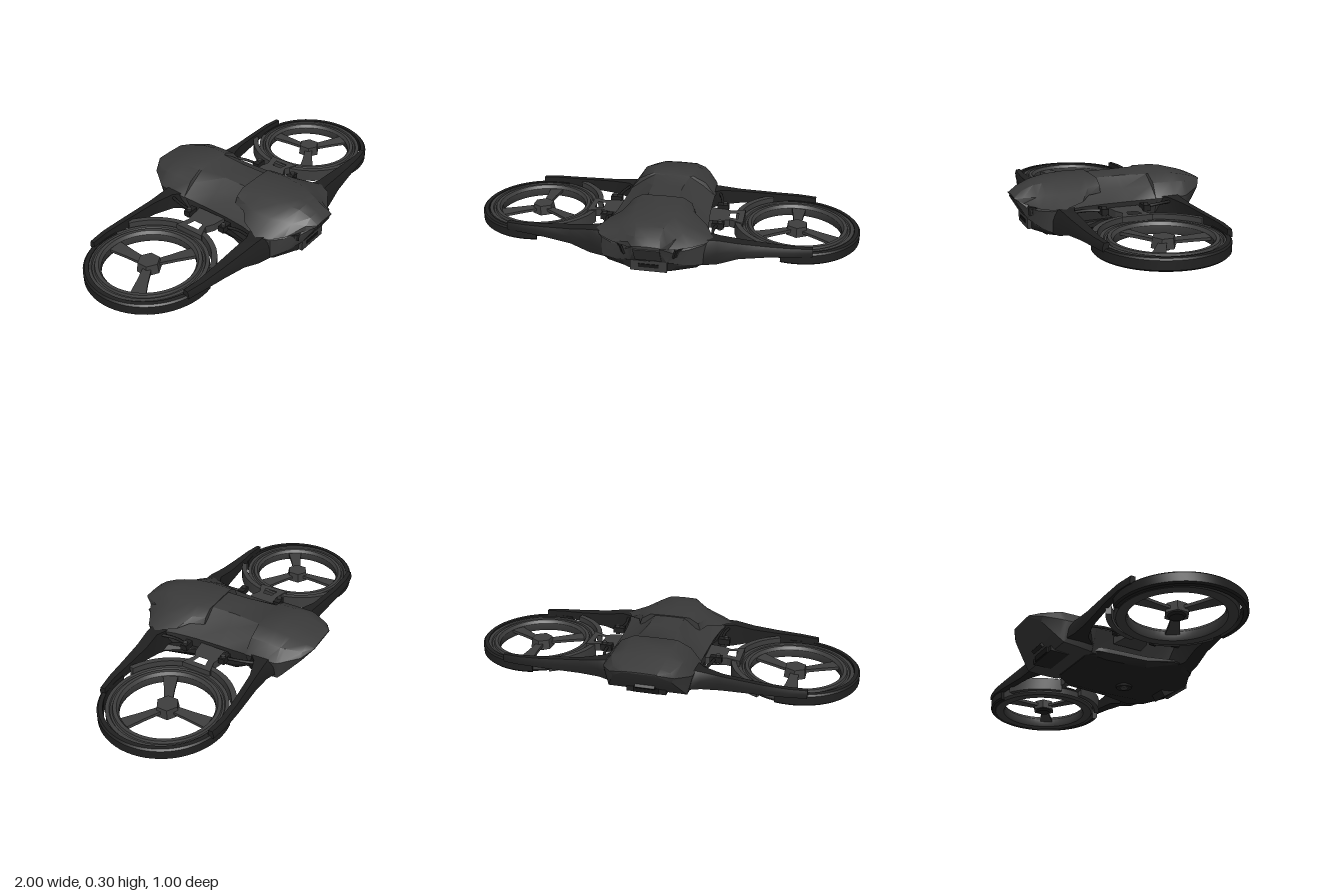
import * as THREE from 'three';
import { toCreasedNormals } from 'three/addons/utils/BufferGeometryUtils.js';

const mat = (name, color) => {
  const m = new THREE.MeshStandardMaterial({ color });
  m.name = name;
  return m;
};

// Closed solid through matching loops of [x, y, z] points, always wound outward
function loft(loops, crease = 0.6) {
  const tris = [], n = loops[0].length;
  const mid = l => [0, 1, 2].map(k => l.reduce((s, p) => s + p[k], 0) / n);
  for (let i = 0; i < loops.length - 1; i++) {
    for (let j = 0; j < n; j++) {
      const k = (j + 1) % n, A = loops[i], B = loops[i + 1];
      tris.push([A[j], A[k], B[k]], [A[j], B[k], B[j]]);
    }
  }
  const first = loops[0], last = loops[loops.length - 1];
  const c0 = mid(first), c1 = mid(last);
  for (let j = 0; j < n; j++) {
    const k = (j + 1) % n;
    tris.push([c0, first[k], first[j]], [c1, last[j], last[k]]);
  }
  let volume = 0;
  for (const [a, b, c] of tris) {
    volume += a[0] * (b[1] * c[2] - b[2] * c[1]) + a[1] * (b[2] * c[0] - b[0] * c[2]) + a[2] * (b[0] * c[1] - b[1] * c[0]);
  }
  if (volume < 0) tris.forEach(t => t.reverse());
  const g = new THREE.BufferGeometry();
  g.setAttribute('position', new THREE.Float32BufferAttribute(tris.flat(2), 3));
  return toCreasedNormals(g, crease);
}

// Symmetric body loop: z, top height, top half width, then x,y pairs down the side
function bodyLoop([z, top, a, ...rest]) {
  const half = [[a, top]];
  for (let i = 0; i < rest.length; i += 2) half.push([rest[i], rest[i + 1]]);
  const right = half.map(([x, y]) => [x, y, z]);
  const left = half.map(([x, y]) => [-x, y, z]).reverse();
  return [[0, top + 0.002, z], ...right, ...left];
}

// Arm loop: x, outer z, inner z, top, bottom
const armLoop = ([x, zo, zi, t, b]) => [
  [x, b, zo], [x, (t + b) / 2, zo], [x, t, zo + (zi - zo) * 0.2], [x, t, zi], [x, b, zi]];

// Curved wall around the rotor; angles in degrees, 0 = +z and 90 = +x
function arcWall(r0, r1, y0, y1, from, to, steps, bevel = 0) {
  const loops = [];
  for (let i = 0; i <= steps; i++) {
    const t = THREE.MathUtils.degToRad(from + (to - from) * i / steps);
    loops.push([[r0, y0], [r1 - bevel, y0], [r1, y0 + bevel], [r1, y1 - bevel], [r1 - bevel, y1], [r0, y1]]
      .map(([r, y]) => [r * Math.sin(t), y, r * Math.cos(t)]));
  }
  return loft(loops, 0.5);
}

export function createModel() {
  const shell = mat('shell grey', 0x3a3a3a);
  const dark = mat('dark frame', 0x202020);
  const ringGrey = mat('rotor grey', 0x3e3e3e);
  const black = mat('lens black', 0x141414);
  const model = new THREE.Group();
  model.name = 'ductedDrone';

  const add = (parent, name, geo, material, pos = [0, 0, 0], rot = [0, 0, 0]) => {
    const m = new THREE.Mesh(geo, material);
    m.name = name;
    m.position.set(...pos);
    m.rotation.set(...rot);
    parent.add(m);
    return m;
  };
  const box = (w, h, d) => new THREE.BoxGeometry(w, h, d);

  // Upper body with a wedge tail and a sunken middle
  add(model, 'bodyShell', loft([
    [-0.5, 0.25, 0.085, 0.086, 0.249, 0.088, 0.247, 0.084, 0.245],
    [-0.46, 0.264, 0.095, 0.14, 0.248, 0.16, 0.222, 0.145, 0.2],
    [-0.38, 0.284, 0.105, 0.175, 0.26, 0.215, 0.2, 0.19, 0.11],
    [-0.36, 0.289, 0.11, 0.18, 0.262, 0.225, 0.195, 0.2, 0.09],
    [-0.3, 0.298, 0.11, 0.18, 0.264, 0.23, 0.195, 0.2, 0.085],
    [-0.2, 0.298, 0.11, 0.18, 0.264, 0.235, 0.195, 0.19, 0.08],
    [-0.195, 0.295, 0.095, 0.165, 0.25, 0.232, 0.195, 0.18, 0.08],
    [-0.05, 0.295, 0.08, 0.145, 0.243, 0.236, 0.195, 0.18, 0.08],
    [0.08, 0.293, 0.08, 0.14, 0.243, 0.242, 0.195, 0.19, 0.08],
    [0.2, 0.29, 0.08, 0.16, 0.238, 0.256, 0.195, 0.2, 0.08],
    [0.3, 0.285, 0.08, 0.16, 0.236, 0.285, 0.195, 0.26, 0.08],
    [0.36, 0.278, 0.065, 0.13, 0.233, 0.255, 0.185, 0.25, 0.08],
    [0.4, 0.265, 0.06, 0.12, 0.217, 0.19, 0.175, 0.18, 0.09],
    [0.44, 0.25, 0.055, 0.092, 0.21, 0.115, 0.17, 0.09, 0.115],
    [0.495, 0.22, 0.05, 0.065, 0.218, 0.068, 0.216, 0.06, 0.208],
  ].map(bodyLoop)), shell);

  // Raised front hood wrapping down into the nose
  add(model, 'frontHood', loft([
    [0.08, 0.298, 0.105, 0.152, 0.27, 0.165, 0.235],
    [0.15, 0.298, 0.11, 0.168, 0.263, 0.188, 0.232],
    [0.2, 0.298, 0.11, 0.185, 0.254, 0.245, 0.216],
    [0.3, 0.293, 0.1, 0.18, 0.247, 0.292, 0.2],
    [0.36, 0.286, 0.08, 0.148, 0.242, 0.262, 0.193],
    [0.4, 0.278, 0.068, 0.13, 0.23, 0.195, 0.186],
    [0.46, 0.252, 0.06, 0.094, 0.222, 0.098, 0.195],
    [0.5, 0.222, 0.055, 0.07, 0.22, 0.072, 0.216],
  ].map(bodyLoop)), shell);

  // Dark belly tray under the body
  add(model, 'belly', loft([
    [-0.21, 0.1, 0.16, 0.17, 0.095, 0.15, 0.082, 0.12, 0.075],
    [-0.15, 0.11, 0.2, 0.2, 0.09, 0.18, 0.065, 0.13, 0.055],
    [-0.12, 0.11, 0.21, 0.21, 0.085, 0.19, 0.055, 0.13, 0.036],
    [0.1, 0.11, 0.225, 0.23, 0.085, 0.21, 0.055, 0.13, 0.03],
    [0.28, 0.11, 0.27, 0.3, 0.085, 0.26, 0.058, 0.13, 0.034],
    [0.36, 0.11, 0.23, 0.25, 0.085, 0.22, 0.06, 0.12, 0.043],
    [0.42, 0.11, 0.13, 0.13, 0.09, 0.12, 0.07, 0.1, 0.06],
  ].map(bodyLoop), 0.4), dark);
  add(model, 'bellySensor', new THREE.CylinderGeometry(0.045, 0.04, 0.02, 20), dark, [0, 0.03, 0.1]);
  add(model, 'bellyLens', new THREE.CylinderGeometry(0.022, 0.022, 0.006, 16), ringGrey, [0, 0.019, 0.1]);
  add(model, 'rearVent', box(0.2, 0.035, 0.1), dark, [0, 0.1, -0.33]);
  add(model, 'rearVentSlot', box(0.13, 0.03, 0.008), black, [0, 0.1, -0.383]);
  add(model, 'tailLatch', box(0.1, 0.035, 0.02), dark, [0, 0.135, -0.398], [0.7, 0, 0]);

  // Chin, nose panel and camera tilted forward and down
  add(model, 'chin', box(0.18, 0.06, 0.1), shell, [0, 0.09, 0.39]);
  add(model, 'chinSlot', box(0.1, 0.018, 0.006), black, [0, 0.09, 0.44]);
  add(model, 'nosePanel', box(0.13, 0.09, 0.008), shell, [0, 0.165, 0.469], [0.54, 0, 0]);
  add(model, 'cameraHousing', box(0.09, 0.04, 0.078), dark, [0, 0.042, 0.348], [-0.58, 0, 0]);
  add(model, 'cameraLens', new THREE.CylinderGeometry(0.014, 0.014, 0.006, 16), black,
    [0, 0.0245, 0.36], [-0.58, 0, 0]);

  // One side: arms, duct, rotor and links
  function buildSide(name) {
    const side = new THREE.Group();
    side.name = name;
    add(side, 'frontArm', loft([
      [0.2, 0.365, 0.22, 0.2, 0.07], [0.32, 0.345, 0.268, 0.2, 0.08],
      [0.42, 0.332, 0.262, 0.187, 0.112], [0.56, 0.318, 0.265, 0.179, 0.128],
      [0.68, 0.305, 0.268, 0.176, 0.135], [0.77, 0.288, 0.258, 0.174, 0.135],
    ].map(armLoop)), dark);
    add(side, 'rearArm', loft([
      [0.2, -0.35, -0.2, 0.205, 0.11], [0.26, -0.335, -0.26, 0.2, 0.115],
      [0.36, -0.332, -0.292, 0.19, 0.12], [0.56, -0.346, -0.312, 0.179, 0.13],
      [0.68, -0.349, -0.318, 0.176, 0.135], [0.77, -0.337, -0.31, 0.174, 0.135],
    ].map(armLoop)), dark);

    // Inboard links and mounting lugs
    const plate = new THREE.Shape([[0.23, -0.1], [0.3, -0.09], [0.34, -0.08], [0.41, -0.1], [0.41, 0.06],
      [0.34, 0.03], [0.3, 0.05], [0.23, 0.06]].map(([x, z]) => new THREE.Vector2(x, -z)));
    plate.holes.push(new THREE.Path([[0.335, -0.045], [0.38, -0.055], [0.38, 0.015], [0.335, 0.005]]
      .map(([x, z]) => new THREE.Vector2(x, -z))));
    add(side, 'ductBracket', new THREE.ExtrudeGeometry(plate, { depth: 0.04, bevelEnabled: false }),
      ringGrey, [0, 0.13, 0], [-Math.PI / 2, 0, 0]);
    for (const z of [-0.11, 0.11]) {
      add(side, 'lug', box(0.06, 0.03, 0.035), dark, [0.29, 0.175, z]);
      add(side, 'lugPin', new THREE.CylinderGeometry(0.012, 0.012, 0.05, 10), ringGrey, [0.3, 0.175, z]);
      const rod = new THREE.CatmullRomCurve3([
        new THREE.Vector3(0.285, 0.175, z), new THREE.Vector3(0.275, 0.18, z * 1.7),
        new THREE.Vector3(z < 0 ? 0.245 : 0.29, 0.18, z * 2.6)]);
      add(side, 'rod', new THREE.TubeGeometry(rod, 8, 0.008, 6), dark);
    }

    // Duct with stepped rim, outer guard and inboard guard arcs
    const duct = new THREE.Group();
    duct.name = 'duct';
    duct.position.set(0.683, 0, -0.035);
    side.add(duct);
    const rim = [[0.225, 0.1], [0.232, 0.085], [0.278, 0.085], [0.288, 0.098], [0.288, 0.142], [0.27, 0.142],
      [0.266, 0.134], [0.257, 0.134], [0.253, 0.146], [0.236, 0.146], [0.225, 0.13], [0.225, 0.1]];
    add(duct, 'ductRing', toCreasedNormals(
      new THREE.LatheGeometry(rim.map(p => new THREE.Vector2(...p)), 56), 0.5), ringGrey);
    add(duct, 'outerGuard', arcWall(0.289, 0.317, 0.088, 0.147, -12, 192, 36, 0.008), dark, [0, 0, 0.012]);
    add(duct, 'innerGuardRear', arcWall(0.297, 0.324, 0.1, 0.165, 208, 262, 12), ringGrey);
    add(duct, 'innerGuardFront', arcWall(0.297, 0.324, 0.1, 0.165, 284, 338, 12), ringGrey);

    // Flat three-bladed rotor with a six-sided hub
    add(duct, 'hub', toCreasedNormals(new THREE.CylinderGeometry(0.055, 0.062, 0.05, 6), 0.4), ringGrey, [0, 0.122, 0]);
    add(duct, 'hubBase', new THREE.CylinderGeometry(0.045, 0.035, 0.012, 12), dark, [0, 0.093, 0]);
    const blade = loft([[0.04, 0.02], [0.13, 0.026], [0.2, 0.034], [0.232, 0.037]]
      .map(([r, w]) => [[-w, 0.008, -r], [w, 0.004, -r], [w, -0.01, -r], [-w, -0.008, -r]]), 0.4);
    for (let i = 0; i < 3; i++) {
      add(duct, 'blade', blade, ringGrey, [0, 0.122, 0], [0, i * Math.PI * 2 / 3, 0]);
    }

    // Ribbed intake beside the nose
    const intake = new THREE.Group();
    intake.name = 'intake';
    intake.position.set(0.147, 0.166, 0.412);
    intake.rotation.set(0.3, 0.95, 0, 'YXZ');
    side.add(intake);
    add(intake, 'intakeFrame', box(0.075, 0.05, 0.01), dark);
    for (let i = -1; i <= 1; i++) add(intake, 'intakeRib', box(0.006, 0.04, 0.006), shell, [i * 0.02, 0, 0.004]);
    return side;
  }
  model.add(buildSide('leftSide'));
  const right = buildSide('rightSide');
  right.scale.x = -1;
  model.add(right);
  return model;
}
